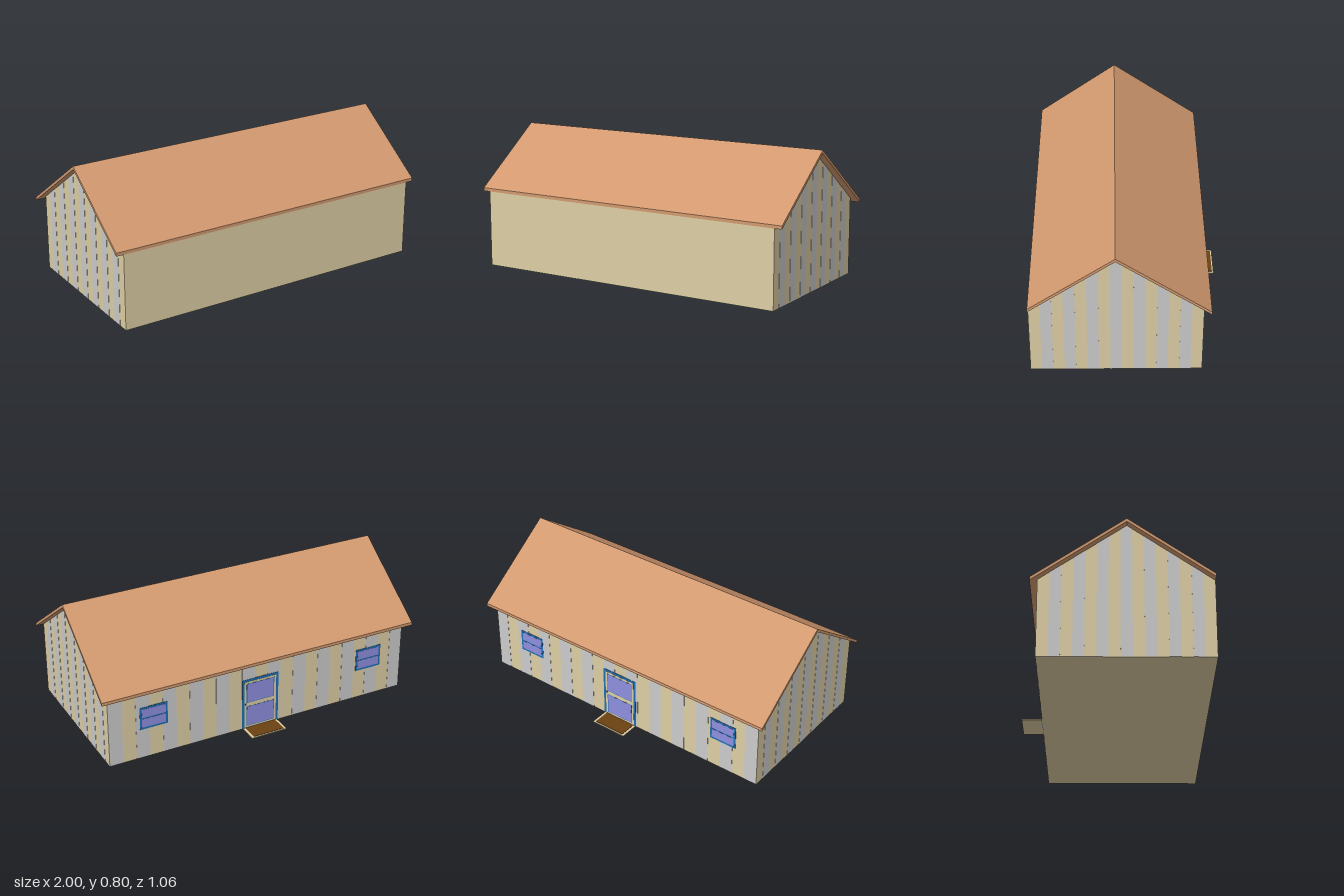
import * as THREE from 'three';

const mat = (color) => new THREE.MeshStandardMaterial({ color, flatShading: true });
const TAN = mat(0xddcea4), GREY = mat(0xcccccc), ROOF = mat(0xd2996f);
const BLUE = mat(0x1f6fb4), GLASS = mat(0x8f8fe0), MAT_BROWN = mat(0x6b4212);

const FRONT = 0.53, BACK = -0.415, RIDGE_Z = 0.06, RIDGE_Y = 0.785;
const HALF = 0.955;

// Underside height of the roof at a given z
const soffit = (z) => z > RIDGE_Z
  ? RIDGE_Y - (z - RIDGE_Z) * 0.713
  : RIDGE_Y - (RIDGE_Z - z) * 0.7;

// Prism along x from a profile of [z, y] points
function prism(name, points, width, material) {
  const shape = new THREE.Shape(points.map(([z, y]) => new THREE.Vector2(z, y)));
  const geo = new THREE.ExtrudeGeometry(shape, { depth: width, bevelEnabled: false });
  geo.translate(0, 0, -width / 2);
  geo.rotateY(-Math.PI / 2);
  const mesh = new THREE.Mesh(geo, material);
  mesh.name = name;
  return mesh;
}

// Box given by its limits on each axis
function slab(name, [x0, x1], [y0, y1], [z0, z1], material) {
  const mesh = new THREE.Mesh(new THREE.BoxGeometry(x1 - x0, y1 - y0, z1 - z0), material);
  mesh.name = name;
  mesh.position.set((x0 + x1) / 2, (y0 + y1) / 2, (z0 + z1) / 2);
  return mesh;
}

// Flat panel standing out from the back wall by `out`
const panel = (name, xs, ys, out, material) =>
  slab(name, xs, ys, [BACK - out, BACK + 0.002], material);

function createWindow(cx) {
  const g = new THREE.Group();
  g.name = 'window';
  const w = 0.085, y0 = 0.185, y1 = 0.325, t = 0.012, mid = (y0 + y1) / 2;
  const xs = [cx - w + t, cx + w - t];
  g.add(panel('windowFrame', [cx - w, cx + w], [y0, y1], 0.003, BLUE));
  g.add(panel('lowerPane', xs, [y0 + t, mid - 0.004], 0.004, GLASS));
  g.add(panel('upperPane', xs, [mid + 0.004, y1 - t], 0.004, GLASS));
  return g;
}

function createDoor(cx) {
  const g = new THREE.Group();
  g.name = 'door';
  const w = 0.118, h = 0.325;
  g.add(panel('doorFrame', [cx - w, cx + w], [0, h], 0.003, BLUE));
  g.add(panel('doorLeaf', [cx - w + 0.015, cx + w - 0.015], [0.002, h - 0.015], 0.004, TAN));
  for (const [y0, y1] of [[0.02, 0.145], [0.175, 0.295]]) {
    g.add(panel('doorPaneEdge', [cx - 0.09, cx + 0.09], [y0 - 0.003, y1 + 0.003], 0.0045, BLUE));
    g.add(panel('doorPane', [cx - 0.086, cx + 0.086], [y0, y1], 0.005, GLASS));
  }
  g.add(panel('doorHandle', [cx + 0.092, cx + 0.1], [0.158, 0.168], 0.007, BLUE));
  return g;
}

export function createModel() {
  const house = new THREE.Group();
  house.name = 'house';

  // Walls and floor as one solid
  house.add(prism('walls', [
    [BACK, 0], [FRONT, 0], [FRONT, soffit(FRONT)], [RIDGE_Z, RIDGE_Y], [BACK, soffit(BACK)],
  ], HALF * 2, TAN));

  // Grey stripes on both gable ends
  const gableCount = 15, step = (FRONT - BACK) / gableCount;
  for (let i = 1; i < gableCount; i += 2) {
    const z1 = FRONT - i * step, z0 = z1 - step;
    const points = [[z0, 0.001], [z1, 0.001], [z1, soffit(z1)]];
    if (z0 < RIDGE_Z && z1 > RIDGE_Z) points.push([RIDGE_Z, RIDGE_Y]);
    points.push([z0, soffit(z0)]);
    house.add(prism('gableStripe', points, HALF * 2 + 0.003, GREY));
  }

  // Grey stripes on the back wall
  const backCount = 23, sw = HALF * 2 / backCount;
  for (let i = 0; i < backCount; i += 2) {
    const x = -HALF + i * sw;
    house.add(panel('backStripe', [x, x + sw], [0.001, soffit(BACK)], 0.0015, GREY));
  }

  // Roof, overhanging the gables and the back wall
  const eave = -0.455, t = 0.019;
  house.add(prism('roof', [
    [FRONT + 0.001, soffit(FRONT)], [FRONT + 0.001, soffit(FRONT) + t], [RIDGE_Z, RIDGE_Y + t],
    [eave, soffit(eave) + t], [eave, soffit(eave)], [RIDGE_Z, RIDGE_Y],
  ], 2, ROOF));

  // Openings in the back wall
  house.add(createDoor(0.007), createWindow(0.68), createWindow(-0.724));

  // Doorstep with a brown mat
  house.add(slab('doorstep', [-0.107, 0.12], [0, 0.004], [-0.532, BACK], TAN));
  house.add(slab('doormat', [-0.092, 0.105], [0.003, 0.006], [-0.523, BACK], MAT_BROWN));

  return house;
}
